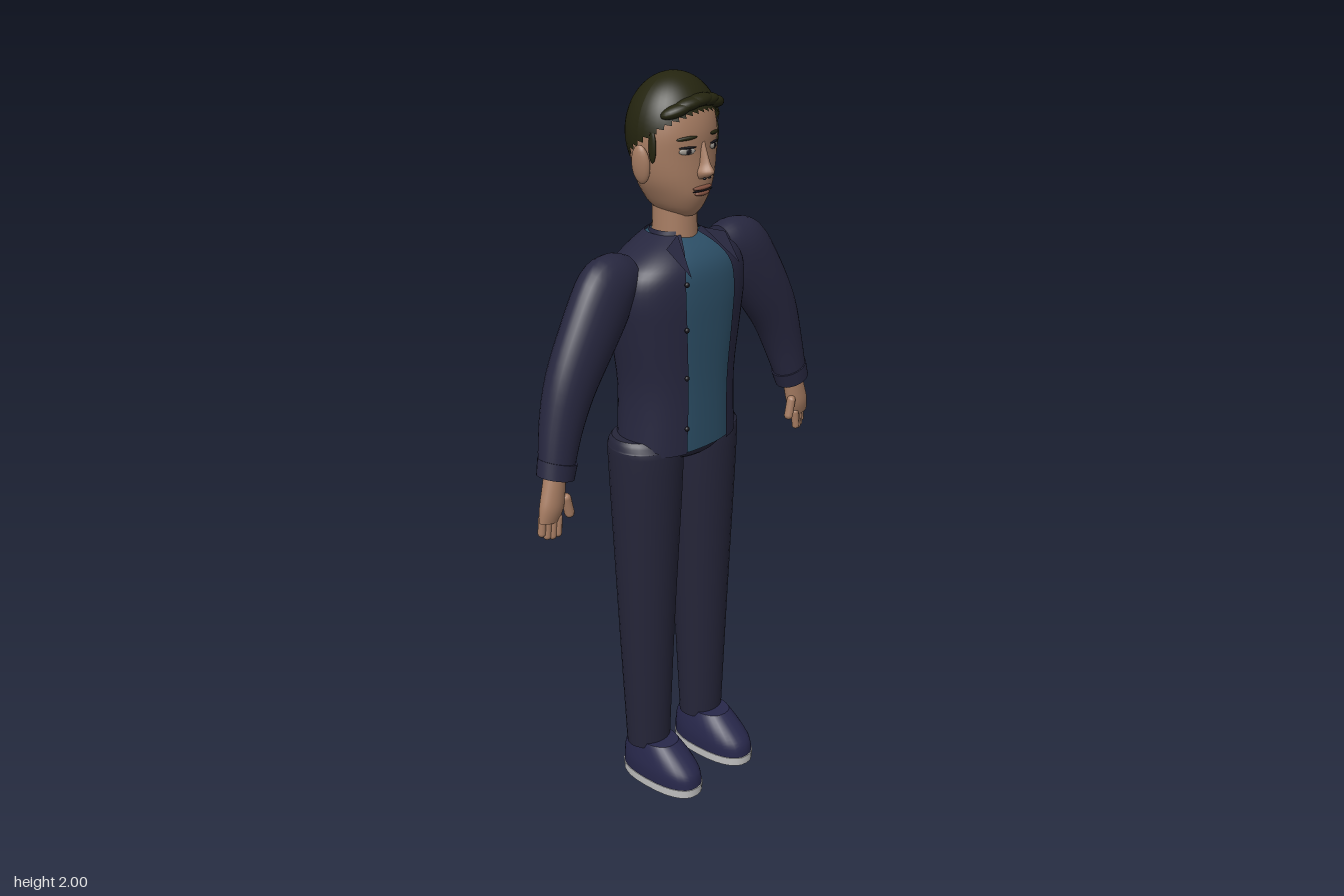
import * as THREE from 'three';

const mat = (name, color, side = THREE.FrontSide) => {
  const m = new THREE.MeshStandardMaterial({ color, side });
  m.name = name;
  return m;
};

// Skin over elliptical rings, listed bottom to top: [x, y, z, rx, frontDepth, backDepth, tilt]
// arc limits the sweep (radians); power above 2 makes the section squarer
function loft(keys, { power = 2, seg = 28, steps = 4, arc = null, pad = 0 } = {}) {
  const rings = [];
  const at = (i) => keys[Math.min(Math.max(i, 0), keys.length - 1)];
  for (let i = 0; i < keys.length - 1; i++)
    for (let s = 0; s < steps; s++) {
      const t = s / steps;
      rings.push(keys[0].map((_, k) => {
        const a = at(i)[k], b = at(i + 1)[k];
        const m0 = (b - at(i - 1)[k]) / 2, m1 = (at(i + 2)[k] - a) / 2;
        return a + m0 * t + (3 * (b - a) - 2 * m0 - m1) * t * t + (m0 + m1 - 2 * (b - a)) * t * t * t;
      }));
    }
  rings.push(at(keys.length));
  const [a0, a1] = arc || [0, Math.PI * 2];
  const cols = arc ? seg + 1 : seg;
  const pos = [], idx = [];
  const pw = (v) => Math.sign(v) * Math.abs(v) ** (2 / power);
  const addRing = ([x, y, z, rx, rf, rb, tilt = 0]) => {
    for (let j = 0; j < cols; j++) {
      const a = a0 + (a1 - a0) * j / seg;
      const u = pw(Math.cos(a)) * (rx + pad), w = pw(Math.sin(a));
      pos.push(x + u * Math.cos(tilt), y + u * Math.sin(tilt), z + w * ((w > 0 ? rf : rb) + pad));
    }
  };
  rings.forEach(addRing);
  for (let i = 0; i < rings.length - 1; i++)
    for (let j = 0; j < seg; j++) {
      const a = i * cols + j, b = i * cols + (j + 1) % cols, c = a + cols, d = b + cols;
      idx.push(a, c, b, b, c, d);
    }
  if (!arc) for (const end of [0, 1]) {
    const r = rings[end ? rings.length - 1 : 0], base = pos.length / 3;
    addRing(r);
    pos.push(r[0], r[1], r[2]);
    for (let j = 0; j < seg; j++) {
      const a = base + j, b = base + (j + 1) % seg;
      idx.push(...(end ? [a, base + seg, b] : [a, b, base + seg]));
    }
  }
  const g = new THREE.BufferGeometry();
  g.setAttribute('position', new THREE.Float32BufferAttribute(pos, 3));
  g.setIndex(idx);
  g.computeVertexNormals();
  return g;
}

const ball = (x, y, z, sx, sy, sz, rotZ = 0, rotY = 0) =>
  new THREE.SphereGeometry(1, 18, 12).scale(sx, sy, sz).rotateZ(rotZ).rotateY(rotY).translate(x, y, z);

function mirrored(geo) {
  const g = geo.clone().scale(-1, 1, 1), ix = g.index.array;
  for (let i = 0; i < ix.length; i += 3) [ix[i], ix[i + 1]] = [ix[i + 1], ix[i]];
  return g;
}

export function createModel() {
  const root = new THREE.Group();
  root.name = 'standingMan';
  const jacket = mat('navyJacket', 0x27273f, THREE.DoubleSide);
  const trousers = mat('navyTrousers', 0x252539);
  const shoes = mat('navyShoes', 0x27274a);
  const shirt = mat('tealShirt', 0x2d5068);
  const skin = mat('skin', 0xa67c62);
  const hair = mat('darkHair', 0x24240f, THREE.DoubleSide);
  const sole = mat('paleSole', 0xc4c4c4);
  const dark = mat('darkDetail', 0x16141a);
  const lips = mat('lips', 0x80503f);
  const eyeWhite = mat('eyeWhite', 0xa09a92);

  const add = (name, geo, m) => {
    const mesh = new THREE.Mesh(geo, m);
    mesh.name = name;
    root.add(mesh);
  };
  const pair = (name, geo, m) => {
    add('left ' + name, geo, m);
    add('right ' + name, mirrored(geo), m);
  };

  // Torso: shirt underneath, open jacket around it
  const torso = [
    [0, 1.03, -0.02, 0.172, 0.11, 0.115], [0, 1.2, -0.02, 0.165, 0.112, 0.115],
    [0, 1.35, -0.02, 0.188, 0.118, 0.122], [0, 1.45, -0.02, 0.203, 0.12, 0.125],
    [0, 1.52, -0.02, 0.19, 0.112, 0.12], [0, 1.565, -0.02, 0.135, 0.085, 0.1],
    [0, 1.6, -0.025, 0.062, 0.045, 0.07],
  ];
  const gap = 0.385;
  add('shirt', loft(torso, { power: 2.3, seg: 40 }), shirt);
  add('jacket', loft(torso, {
    power: 2.3, seg: 44, pad: 0.008, arc: [Math.PI / 2 + gap, Math.PI * 2.5 - gap],
  }), jacket);
  add('jacket collar band', loft([[0, 1.575, -0.025, 0.075, 0.062, 0.075], [0, 1.61, -0.025, 0.064, 0.056, 0.064]],
    { arc: [Math.PI / 2 + 0.7, Math.PI * 2.5 - 0.7] }), jacket);
  const wing = new THREE.BufferGeometry();
  wing.setAttribute('position', new THREE.Float32BufferAttribute(
    [0.048, 1.605, 0.03, 0.09, 1.52, 0.118, 0.11, 1.585, 0.05], 3));
  wing.setIndex([0, 1, 2]);
  wing.computeVertexNormals();
  pair('collar wing', wing, jacket);
  for (const y of [1.11, 1.25, 1.38, 1.5])
    add('jacket button', ball(-0.092, y, 0.104, 0.007, 0.007, 0.006), dark);
  add('pelvis', loft([
    [0, 0.985, -0.03, 0.06, 0.06, 0.07], [0, 1.01, -0.025, 0.13, 0.1, 0.112], [0, 1.05, -0.02, 0.168, 0.11, 0.118],
  ]), trousers);

  // Legs and shoes
  pair('trouser leg', loft([
    [0.11, 0.115, -0.028, 0.065, 0.058, 0.058], [0.11, 0.5, -0.03, 0.081, 0.075, 0.076],
    [0.107, 0.98, -0.03, 0.103, 0.097, 0.1], [0.109, 1.045, -0.033, 0.1, 0.092, 0.096],
    [0.11, 1.068, -0.035, 0.088, 0.078, 0.082],
  ]), trousers);
  pair('shoe sole', loft([[0.108, 0, 0.022, 0.066, 0.137, 0.13], [0.108, 0.026, 0.022, 0.068, 0.139, 0.132]],
    { power: 2.4 }), sole);
  pair('shoe upper', loft([
    [0.108, 0.026, 0.022, 0.066, 0.136, 0.129], [0.108, 0.06, 0.02, 0.066, 0.13, 0.126],
    [0.108, 0.095, 0.015, 0.06, 0.1, 0.116], [0.109, 0.13, -0.005, 0.05, 0.075, 0.078],
  ], { power: 2.4 }), shoes);

  // Sleeves, cuffs and hands
  pair('sleeve', loft([
    [0.46, 1.07, 0, 0.048, 0.04, 0.04, 0.29], [0.43, 1.18, -0.01, 0.06, 0.05, 0.052, 0.42],
    [0.39, 1.285, -0.012, 0.074, 0.055, 0.062, 0.62], [0.325, 1.39, -0.016, 0.087, 0.06, 0.065, 0.74],
    [0.258, 1.48, -0.022, 0.095, 0.062, 0.068, 0.95], [0.21, 1.508, -0.028, 0.077, 0.06, 0.066, 1.35],
    [0.17, 1.515, -0.03, 0.055, 0.05, 0.052, 1.5],
  ]), jacket);
  pair('cuff', loft([[0.461, 1.066, 0, 0.052, 0.044, 0.044, 0.29], [0.449, 1.106, -0.003, 0.055, 0.047, 0.047, 0.31]],
    { steps: 1 }), jacket);
  pair('palm', loft([
    [0.492, 0.955, 0.004, 0.03, 0.016, 0.016, 0.15], [0.482, 0.99, 0.004, 0.036, 0.024, 0.022, 0.2],
    [0.472, 1.03, 0.002, 0.034, 0.026, 0.024, 0.25], [0.462, 1.075, 0, 0.03, 0.026, 0.026, 0.29],
  ]), skin);
  for (let i = 0; i < 4; i++)
    pair('finger', new THREE.CapsuleGeometry(0.0105, 0.042, 4, 10).rotateZ(0.1)
      .translate(0.468 + i * 0.0135, 0.936 + [0.004, 0, 0.002, 0.012][i], 0.012 - i * 0.005), skin);
  pair('thumb', new THREE.CapsuleGeometry(0.013, 0.045, 4, 10).rotateZ(-0.22).translate(0.437, 0.985, 0.016), skin);

  // Head
  add('neck', new THREE.CylinderGeometry(0.055, 0.06, 0.15, 24).translate(0, 1.645, -0.025), skin);
  add('head', loft([
    [0, 1.648, 0.01, 0.025, 0.03, 0.04], [0, 1.668, -0.02, 0.06, 0.075, 0.062],
    [0, 1.705, -0.03, 0.086, 0.1, 0.074], [0, 1.75, -0.03, 0.107, 0.103, 0.09],
    [0, 1.81, -0.03, 0.118, 0.102, 0.1], [0, 1.87, -0.03, 0.117, 0.103, 0.103],
    [0, 1.93, -0.03, 0.1, 0.086, 0.09], [0, 1.98, -0.03, 0.045, 0.045, 0.045],
  ], { seg: 36 }), skin);
  add('nose', loft([
    [0, 1.749, 0.066, 0.016, 0.016, 0.01], [0, 1.766, 0.068, 0.021, 0.038, 0.01],
    [0, 1.79, 0.066, 0.012, 0.027, 0.01], [0, 1.84, 0.063, 0.008, 0.012, 0.01],
  ], { seg: 16 }), skin);
  pair('ear', ball(0.126, 1.79, -0.02, 0.014, 0.05, 0.026, -0.12, -0.2), skin);
  pair('eye', ball(0.048, 1.822, 0.0625, 0.022, 0.009, 0.005, 0, 0.4), eyeWhite);
  pair('eyelash', ball(0.048, 1.831, 0.064, 0.024, 0.003, 0.005, 0, 0.4), dark);
  pair('iris', ball(0.047, 1.822, 0.066, 0.008, 0.008, 0.004, 0, 0.4), dark);
  pair('eyebrow', ball(0.05, 1.854, 0.063, 0.028, 0.005, 0.005, -0.08, 0.42), hair);
  pair('nostril', ball(0.009, 1.751, 0.085, 0.005, 0.003, 0.004), dark);
  add('upper lip', ball(0, 1.725, 0.07, 0.034, 0.006, 0.01), lips);
  add('lower lip', ball(0, 1.711, 0.069, 0.026, 0.007, 0.01), lips);
  add('mouth line', ball(0, 1.718, 0.071, 0.035, 0.0022, 0.008), dark);

  // Hair cap: a dome whose lower edge rises from the nape to the forehead
  const cap = new THREE.SphereGeometry(1, 40, 16);
  const p = cap.attributes.position, v = new THREE.Vector3();
  for (let i = 0; i < p.count; i++) {
    v.fromBufferAttribute(p, i);
    const az = Math.atan2(v.z, v.x);
    const edge = 1.832 + 0.08 * Math.sin(az);
    const phi = Math.acos(THREE.MathUtils.clamp(v.y, -1, 1)) / Math.PI * Math.acos((edge - 1.855) / 0.145);
    const r = Math.sin(phi);
    p.setXYZ(i, 0.127 * r * Math.cos(az), 1.855 + 0.145 * Math.cos(phi), -0.03 + 0.114 * r * Math.sin(az));
  }
  cap.computeVertexNormals();
  add('hair cap', cap, hair);
  // Swept fringe and sideburns
  for (let i = 0; i < 5; i++)
    add('fringe lock', ball(-0.07 + i * 0.034, 1.922 + [0, 0.013, 0.019, 0.015, 0.004][i],
      0.047 + [0, 0.01, 0.014, 0.01, 0.002][i], 0.042, 0.016, 0.022, 0.3 - i * 0.12, -0.5 + i * 0.24), hair);
  pair('sideburn', ball(0.114, 1.835, 0.008, 0.006, 0.04, 0.012), hair);

  return root;
}
